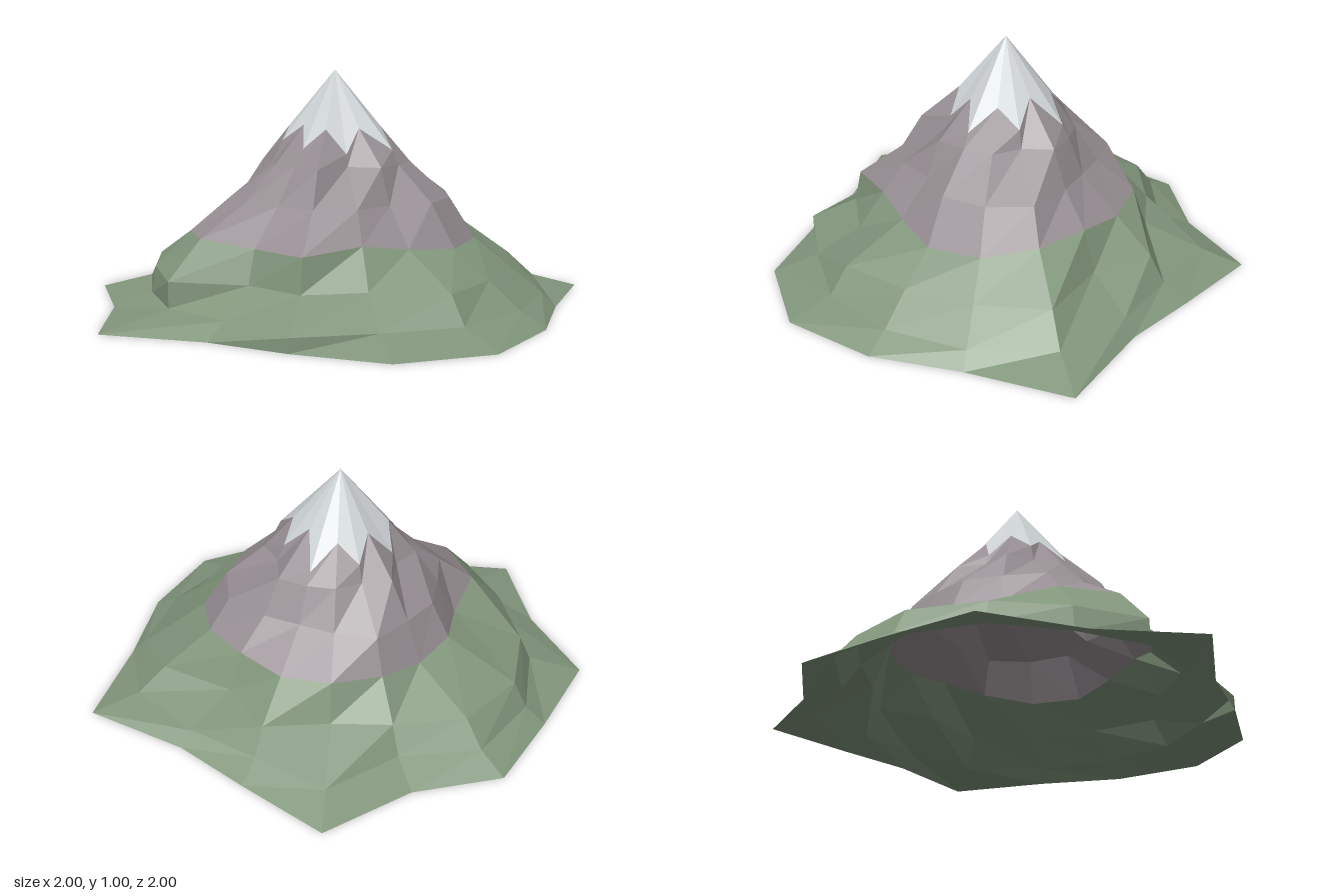
import * as THREE from 'three';

const SIDES = 16;
const CENTRE_Z = -0.03;

// Contour rings from the foot upwards: one radius per spoke, starting at +x and turning towards +z.
const foot = { y: 0, r: [1.0, 1.07, 1.03, 0.9, 0.88, 1.115, 0.96, 1.08, 0.97, 1.0, 0.88, 1.05, 0.89, 0.88, 1.13, 0.96] };
const lowTerrace = { y: 0.06, r: [0.89, 0.88, 0.84, 0.9, 0.77, 0.81, 0.8, 0.85, 0.88, 0.87, 0.73, 0.88, 0.78, 0.82, 0.92, 0.9] };
const highTerrace = { y: 0.17, r: [0.75, 0.8, 0.65, 0.69, 0.62, 0.81, 0.78, 0.8, 0.82, 0.78, 0.66, 0.62, 0.71, 0.62, 0.8, 0.76] };
const treeLine = {
  y: [0.28, 0.3, 0.33, 0.31, 0.31, 0.33, 0.32, 0.3, 0.31, 0.29, 0.32, 0.33, 0.31, 0.33, 0.32, 0.29],
  r: [0.59, 0.53, 0.54, 0.66, 0.58, 0.66, 0.63, 0.5, 0.51, 0.5, 0.53, 0.56, 0.55, 0.55, 0.59, 0.61],
};
const midSlope = { y: 0.46, r: [0.48, 0.4, 0.45, 0.46, 0.42, 0.45, 0.46, 0.42, 0.43, 0.42, 0.46, 0.4, 0.38, 0.42, 0.5, 0.5] };
const highSlope = { y: 0.61, r: [0.32, 0.34, 0.26, 0.37, 0.3, 0.3, 0.27, 0.32, 0.26, 0.32, 0.27, 0.3, 0.31, 0.34, 0.28, 0.33] };
// The snow edge dips down every other spoke.
const snowLine = {
  y: [0.67, 0.76, 0.66, 0.76, 0.68, 0.77, 0.7, 0.76, 0.66, 0.77, 0.68, 0.76, 0.66, 0.78, 0.68, 0.76],
  r: [0.29, 0.18, 0.24, 0.2, 0.24, 0.16, 0.23, 0.2, 0.24, 0.17, 0.24, 0.19, 0.28, 0.17, 0.25, 0.2],
};
const peak = { y: 1, r: new Array(SIDES).fill(0) };

function ringPoint(ring, i) {
  const j = i % SIDES;
  const angle = (j / SIDES) * Math.PI * 2;
  const y = Array.isArray(ring.y) ? ring.y[j] : ring.y;
  return [Math.cos(angle) * ring.r[j], y, CENTRE_Z + Math.sin(angle) * ring.r[j]];
}

// Faceted band of terrain through a stack of rings
function band(name, rings, material) {
  const positions = [];
  for (let k = 0; k < rings.length - 1; k++) {
    for (let i = 0; i < SIDES; i++) {
      const a = ringPoint(rings[k], i);
      const b = ringPoint(rings[k], i + 1);
      const c = ringPoint(rings[k + 1], i + 1);
      const d = ringPoint(rings[k + 1], i);
      positions.push(...a, ...d, ...b);
      if (rings[k + 1] !== peak) positions.push(...b, ...d, ...c);
    }
  }
  const geometry = new THREE.BufferGeometry();
  geometry.setAttribute('position', new THREE.Float32BufferAttribute(positions, 3));
  geometry.computeVertexNormals();
  const mesh = new THREE.Mesh(geometry, material);
  mesh.name = name;
  return mesh;
}

function makeMaterial(name, color) {
  return new THREE.MeshStandardMaterial({ name, color, flatShading: true, side: THREE.DoubleSide });
}

export function createModel() {
  const mountain = new THREE.Group();
  mountain.name = 'mountain';
  mountain.add(
    band('grassyFoothills', [foot, lowTerrace, highTerrace, treeLine], makeMaterial('grass', 0x82967c)),
    band('rockySlopes', [treeLine, midSlope, highSlope, snowLine], makeMaterial('rock', 0x968e92)),
    band('snowCap', [snowLine, peak], makeMaterial('snow', 0xcdd2d4)),
  );
  return mountain;
}
